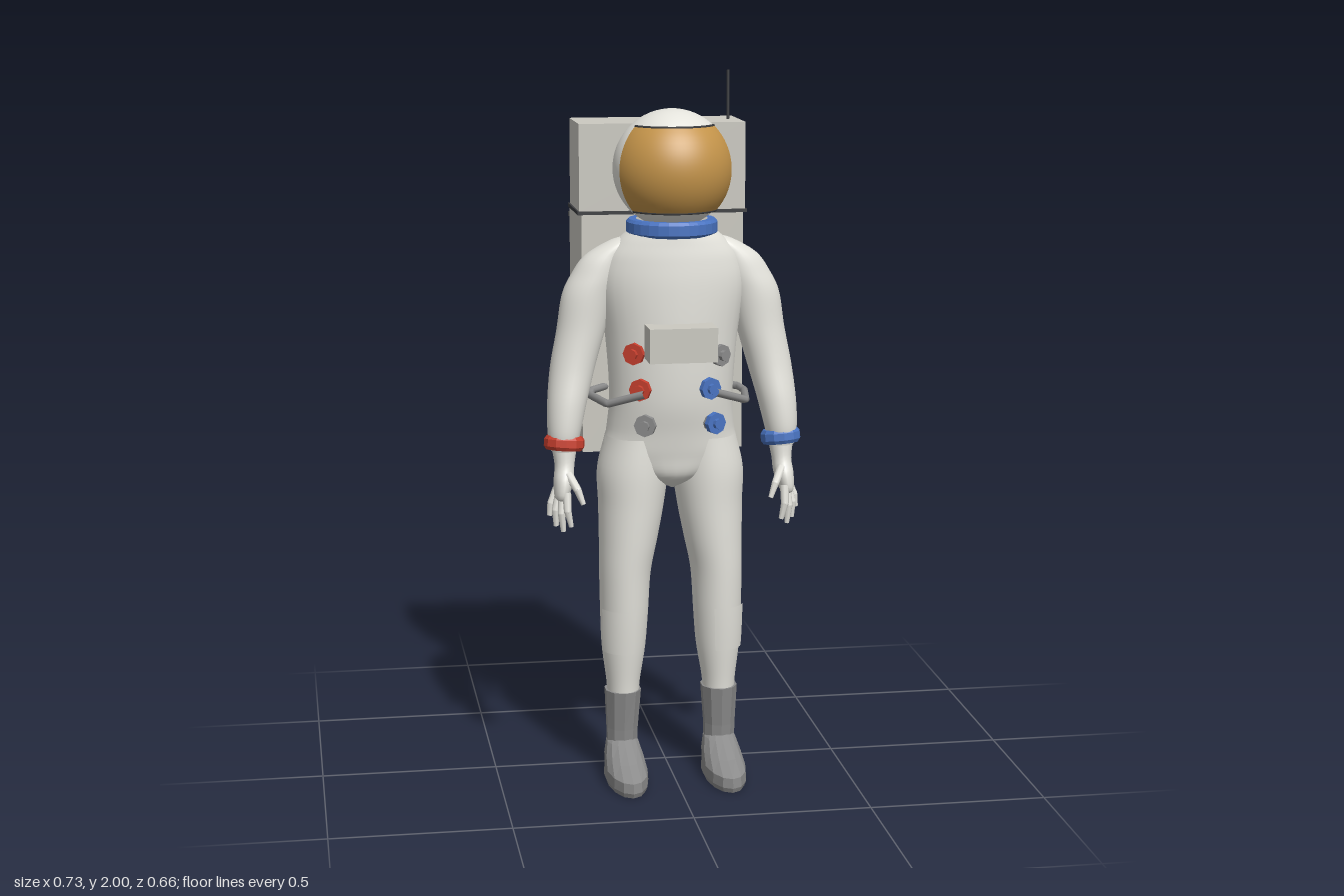
import * as THREE from 'three';

const mat = (name, color) => {
  const m = new THREE.MeshStandardMaterial({ color });
  m.name = name;
  return m;
};

// Skin through horizontal ellipses [y, centreX, centreZ, radiusX, radiusZ], listed bottom to top.
function loft(rows, { sides = 32, steps = 6, arc = null, grow = 0, t0 = 0, t1 = 1 } = {}) {
  const centres = new THREE.CatmullRomCurve3(rows.map(r => new THREE.Vector3(r[1], r[0], r[2])), false, 'catmullrom', 0.5);
  const radii = new THREE.CatmullRomCurve3(rows.map(r => new THREE.Vector3(r[3], 0, r[4])), false, 'catmullrom', 0.5);
  const n = (rows.length - 1) * steps, cols = arc ? sides + 1 : sides;
  const [a0, a1] = arc || [0, Math.PI * 2];
  const pos = [], idx = [];
  for (let i = 0; i <= n; i++) {
    const t = t0 + (t1 - t0) * i / n, c = centres.getPoint(t), r = radii.getPoint(t);
    for (let j = 0; j < cols; j++) {
      const a = a0 + (a1 - a0) * j / sides;
      pos.push(c.x + (r.x + grow) * Math.sin(a), c.y, c.z + (r.z + grow) * Math.cos(a));
    }
  }
  for (let i = 0; i < n; i++) {
    for (let j = 0; j < sides; j++) {
      const k = (j + 1) % cols, p = i * cols, q = p + cols;
      idx.push(p + j, p + k, q + k, p + j, q + k, q + j);
    }
  }
  const g = new THREE.BufferGeometry();
  g.setAttribute('position', new THREE.Float32BufferAttribute(pos, 3));
  g.setIndex(idx);
  g.computeVertexNormals();
  return g;
}

// Split faces for a low-poly look.
function faceted(g) {
  const f = g.index ? g.toNonIndexed() : g;
  f.computeVertexNormals();
  return f;
}

export function createModel() {
  const root = new THREE.Group();
  root.name = 'astronaut';
  const suit = mat('suit white', 0xe4e3dc);
  const pack = mat('pack grey', 0xcbc9c1);
  const grey = mat('boot grey', 0x8c8c8c);
  const dark = mat('dark trim', 0x3c3d40);
  const gold = mat('visor gold', 0xc4944a);
  const blue = mat('blue', 0x4a74c2);
  const red = mat('red', 0xc8402f);
  gold.side = THREE.DoubleSide;

  const add = (name, geo, material, x = 0, y = 0, z = 0, parent = root) => {
    const m = new THREE.Mesh(geo, material);
    m.name = name;
    m.position.set(x, y, z);
    parent.add(m);
    return m;
  };
  const box = (name, material, x0, x1, y0, y1, z0, z1) =>
    add(name, new THREE.BoxGeometry(x1 - x0, y1 - y0, z1 - z0), material, (x0 + x1) / 2, (y0 + y1) / 2, (z0 + z1) / 2);

  // Tapered rod between two points
  const rod = (name, material, a, b, ra, rb, parent = root) => {
    const d = b.clone().sub(a), mid = a.clone().add(b).multiplyScalar(0.5);
    const m = add(name, new THREE.CylinderGeometry(rb, ra, d.length(), 8), material, mid.x, mid.y, mid.z, parent);
    m.quaternion.setFromUnitVectors(new THREE.Vector3(0, 1, 0), d.normalize());
    return m;
  };

  // Torso
  add('torso', loft([
    [0.85, 0, 0.085, 0.01, 0.05], [0.89, 0, 0.085, 0.12, 0.105], [0.95, 0, 0.085, 0.19, 0.12],
    [1.02, 0, 0.09, 0.182, 0.128], [1.12, 0, 0.1, 0.175, 0.137], [1.28, 0, 0.104, 0.186, 0.141],
    [1.42, 0, 0.105, 0.205, 0.14], [1.5, 0, 0.107, 0.19, 0.133], [1.55, 0, 0.112, 0.155, 0.122],
    [1.585, 0, 0.115, 0.115, 0.115],
  ]), suit);

  // Helmet, visor and neck ring
  const hy = 1.75, hz = 0.117, vr = 0.169, half = 1.17;
  add('helmet', new THREE.SphereGeometry(0.164, 48, 32), suit, 0, hy, hz);
  const visorProfile = [];
  const lo = Math.asin(-0.112 / vr), hi = Math.asin(0.12 / vr);
  for (let i = 0; i <= 16; i++) {
    const a = lo + (hi - lo) * i / 16;
    visorProfile.push(new THREE.Vector2(vr * Math.cos(a), vr * Math.sin(a)));
  }
  add('visor', new THREE.LatheGeometry(visorProfile, 32, -half, half * 2), gold, 0, hy, hz);
  for (const a of [lo, hi]) {
    const lip = new THREE.TorusGeometry(vr * Math.cos(a) - 0.002, 0.004, 6, 32, half * 2);
    lip.rotateZ(-Math.PI / 2 - half).rotateX(-Math.PI / 2);
    add('visorLip', lip, dark, 0, hy + vr * Math.sin(a), hz);
  }
  const collar = [[0.1, -0.022], [0.12, -0.022], [0.127, -0.014], [0.127, 0.014], [0.12, 0.022], [0.1, 0.022]];
  add('neckRing', faceted(new THREE.LatheGeometry(collar.map(p => new THREE.Vector2(...p)), 28)), blue, 0, 1.59, 0.116);

  // Life-support pack
  box('packLower', pack, -0.232, 0.232, 0.92, 1.605, -0.322, -0.047);
  box('packUpper', pack, -0.238, 0.238, 1.612, 1.86, -0.26, -0.047);
  box('packSeam', dark, -0.243, 0.243, 1.604, 1.614, -0.265, -0.045);
  for (const y of [0.945, 1.575]) box('packRail', dark, -0.236, 0.236, y - 0.007, y + 0.007, -0.331, -0.319);
  add('antenna', new THREE.CylinderGeometry(0.004, 0.004, 0.15, 8), dark, 0.207, 1.925, -0.155);

  // Chest control box
  box('chestBox', pack, -0.094, 0.094, 1.24, 1.335, 0.2, 0.325);

  // Chest connectors, turned to follow the torso
  const dials = [
    [-0.115, 1.25, red], [-0.1, 1.15, red], [-0.088, 1.05, grey],
    [0.115, 1.24, grey], [0.085, 1.15, blue], [0.1, 1.05, blue],
  ];
  for (const [x, y, material] of dials) {
    const dial = new THREE.Group();
    dial.name = 'connector';
    const dz = 0.136 * Math.sqrt(1 - (x / 0.18) ** 2);
    dial.position.set(x, y, 0.1 + dz);
    dial.rotation.y = Math.atan2(x / 0.18 ** 2, dz / 0.136 ** 2);
    root.add(dial);
    const disc = (name, r, h, z, m) =>
      add(name, faceted(new THREE.CylinderGeometry(r, r, h, 8).rotateX(Math.PI / 2)), m, 0, 0, z, dial);
    disc('connectorBase', 0.024, 0.03, 0, grey);
    disc('connectorRing', 0.031, 0.016, 0.012, material);
    disc('connectorNub', 0.015, 0.016, 0.024, material);
  }

  for (const s of [1, -1]) {
    const label = s > 0 ? 'left' : 'right';
    const V = (x, y, z) => new THREE.Vector3(s * x, y, z);
    const side = rows => rows.map(([y, x, ...rest]) => [y, s * x, ...rest]);

    // Leg
    const leg = side([
      [0.22, 0.139, 0.1, 0.044, 0.055], [0.28, 0.139, 0.1, 0.048, 0.06], [0.38, 0.137, 0.096, 0.062, 0.077],
      [0.48, 0.135, 0.097, 0.068, 0.086], [0.6, 0.132, 0.096, 0.073, 0.095], [0.7, 0.122, 0.093, 0.083, 0.103],
      [0.8, 0.113, 0.088, 0.093, 0.111], [0.9, 0.108, 0.085, 0.1, 0.117], [1.0, 0.1, 0.088, 0.085, 0.11],
    ]);
    add(label + 'Leg', loft(leg), suit);

    // Knee pocket, a thin patch over the front and outside
    const arc = s > 0 ? [-0.3, 1.15] : [-1.15, 0.3];
    add(label + 'KneePocket', loft(leg, { sides: 12, arc, grow: 0.006, t0: 0.244, t1: 0.4 }), suit);

    // Boot
    add(label + 'BootShaft', faceted(loft(side([
      [0.07, 0.142, 0.095, 0.045, 0.045], [0.14, 0.142, 0.097, 0.046, 0.05],
      [0.255, 0.14, 0.1, 0.053, 0.064], [0.256, 0.14, 0.1, 0.03, 0.04],
    ]), { sides: 10, steps: 1 })), grey);
    add(label + 'Foot', faceted(loft(side([
      [0, 0.142, 0.175, 0.001, 0.001], [0, 0.142, 0.175, 0.056, 0.15], [0.014, 0.142, 0.175, 0.061, 0.156],
      [0.042, 0.142, 0.175, 0.059, 0.153], [0.068, 0.142, 0.133, 0.055, 0.112],
      [0.1, 0.142, 0.1, 0.046, 0.066], [0.112, 0.142, 0.096, 0.036, 0.04],
    ]), { sides: 14, steps: 1 })), grey);

    // Arm sleeve
    add(label + 'Arm', loft(side([
      [0.97, 0.31, 0.14, 0.036, 0.042], [1.02, 0.308, 0.138, 0.046, 0.054], [1.1, 0.298, 0.125, 0.055, 0.063],
      [1.2, 0.279, 0.105, 0.063, 0.068], [1.3, 0.255, 0.1, 0.068, 0.066], [1.4, 0.233, 0.1, 0.074, 0.066],
      [1.46, 0.206, 0.1, 0.073, 0.063], [1.51, 0.18, 0.102, 0.062, 0.055], [1.55, 0.14, 0.106, 0.035, 0.04],
      [1.565, 0.12, 0.108, 0.005, 0.005],
    ])), suit);

    // Wrist cuff
    const ring = [[0.038, -0.02], [0.05, -0.02], [0.057, -0.01], [0.057, 0.01], [0.05, 0.02], [0.038, 0.02]];
    const cuff = add(label + 'Cuff', faceted(new THREE.LatheGeometry(ring.map(p => new THREE.Vector2(...p)), 12)),
      s > 0 ? blue : red, s * 0.308, 0.99, 0.139);
    cuff.rotation.set(-0.12, 0, s * 0.08);

    // Gloved hand
    const hand = new THREE.Group();
    hand.name = label + 'Hand';
    root.add(hand);
    add('palm', loft(side([
      [0.83, 0.322, 0.17, 0.005, 0.012], [0.845, 0.32, 0.168, 0.02, 0.04], [0.89, 0.313, 0.16, 0.028, 0.046],
      [0.93, 0.309, 0.15, 0.028, 0.036], [0.98, 0.308, 0.14, 0.036, 0.04],
    ]), { sides: 16, steps: 4 }), suit, 0, 0, 0, hand);
    const fingers = [
      [V(0.309, 0.86, 0.198), V(0.308, 0.81, 0.21), V(0.298, 0.765, 0.208)],
      [V(0.318, 0.85, 0.18), V(0.323, 0.8, 0.192), V(0.318, 0.748, 0.19)],
      [V(0.325, 0.85, 0.16), V(0.337, 0.805, 0.17), V(0.336, 0.76, 0.17)],
      [V(0.329, 0.86, 0.138), V(0.347, 0.82, 0.146), V(0.352, 0.785, 0.148)],
      [V(0.303, 0.91, 0.185), V(0.28, 0.87, 0.212), V(0.265, 0.83, 0.22)],
    ];
    for (const [a, b, c] of fingers) {
      rod('fingerBase', suit, a, b, 0.013, 0.011, hand);
      rod('fingerTip', suit, b, c, 0.011, 0.007, hand);
      add('knuckle', new THREE.SphereGeometry(0.011, 8, 6), suit, b.x, b.y, b.z, hand);
    }

    // Hose from chest connector round to the pack
    const path = new THREE.CatmullRomCurve3([
      V(0.1, 1.145, 0.265), V(0.195, 1.11, 0.205), V(0.222, 1.105, 0.04), V(0.212, 1.11, 0), V(0.16, 1.11, -0.06),
    ], false, 'catmullrom', 0);
    add(label + 'Hose', new THREE.TubeGeometry(path, 32, 0.011, 8), grey);
  }
  return root;
}
